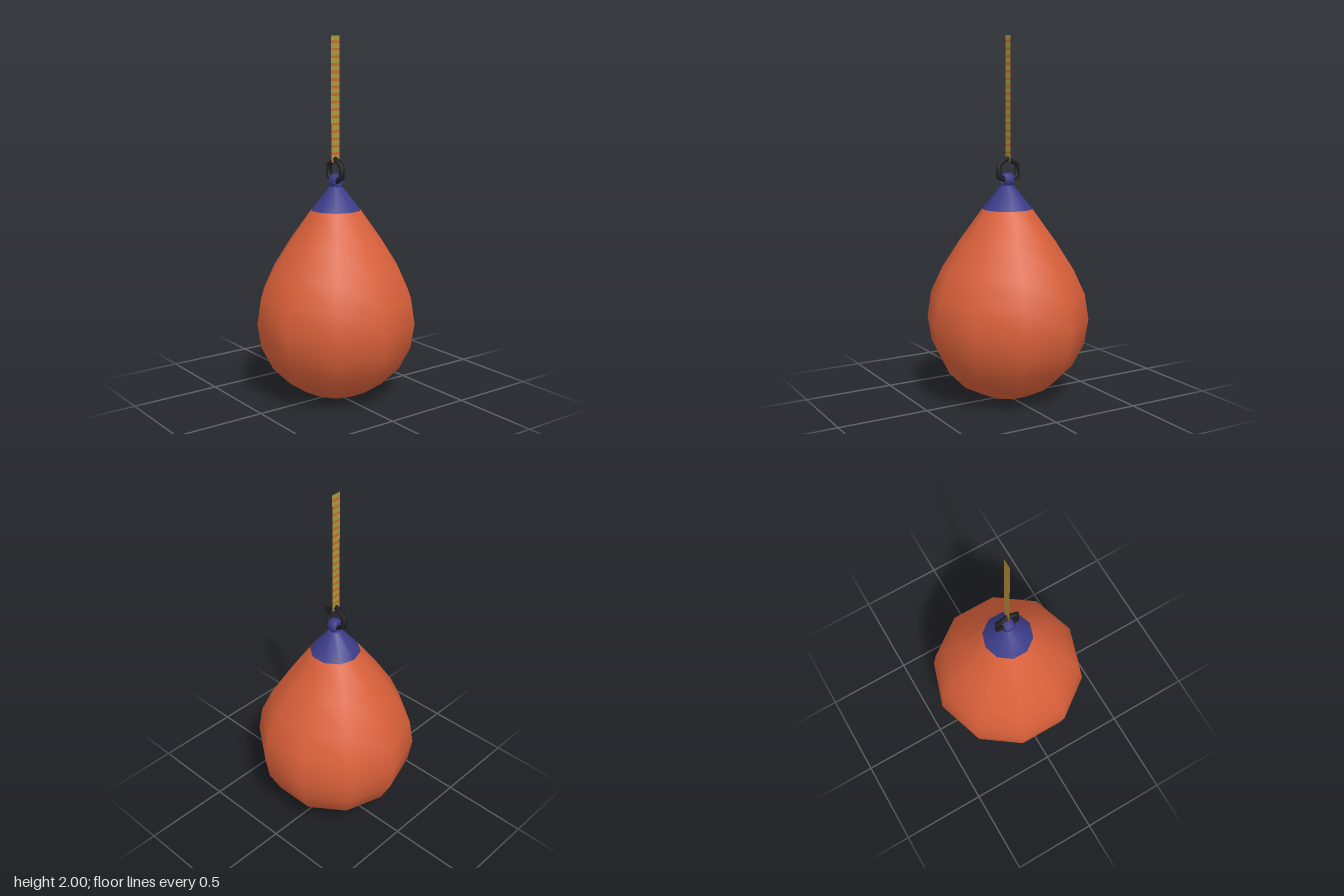
import * as THREE from 'three';

const paint = (name, color, extra = {}) => {
  const m = new THREE.MeshStandardMaterial({ color, ...extra });
  m.name = name;
  return m;
};

export function createModel() {
  const orange = paint('orange', 0xd9603a);
  const blue = paint('blue', 0x3b3b88);
  const black = paint('black', 0x1e1e1e);
  const olive = paint('olive', 0xa89c38, { side: THREE.DoubleSide });
  const red = paint('red', 0xc8663a, { side: THREE.DoubleSide });

  const group = new THREE.Group();
  const add = (name, geometry, material, y = 0, z = 0) => {
    const mesh = new THREE.Mesh(geometry, material);
    mesh.name = name;
    mesh.position.set(0, y, z);
    group.add(mesh);
    return mesh;
  };
  const lathe = (points) =>
    new THREE.LatheGeometry(points.map(([r, y]) => new THREE.Vector2(r, y)), 10);

  // Ten-sided teardrop float
  add('floatBody', lathe([
    [0, 0.005], [0.139, 0.028], [0.265, 0.092], [0.364, 0.192], [0.428, 0.318], [0.45, 0.455],
    [0.428, 0.597], [0.364, 0.735], [0.265, 0.89], [0.139, 1.065],
  ]), orange);

  // Conical cap
  add('topCap', lathe([[0.139, 1.065], [0.038, 1.19], [0, 1.205]]), blue);

  // Broad eye on the cap, with its hole facing front and back
  const eye = add('capEye', new THREE.TorusGeometry(0.028, 0.012, 8, 8), blue, 1.225);
  eye.scale.z = 2.6;

  // Six-sided shackle ring standing across the eye
  const ring = new THREE.TorusGeometry(0.066, 0.015, 8, 6);
  ring.rotateZ(Math.PI / 2).rotateY(Math.PI / 2);
  add('shackleRing', ring, black, 1.275, -0.004);

  // Flat woven strap: olive webbing crossed by red threads
  const bottom = 1.325, top = 2, count = 17;
  const pitch = (top - bottom) / count, thread = pitch * 0.36;
  for (let i = 0; i < count; i++) {
    const y = bottom + i * pitch;
    add('strapThread', new THREE.PlaneGeometry(0.054, thread), red, y + thread / 2, -0.005);
    add('strapWebbing', new THREE.PlaneGeometry(0.054, pitch - thread), olive,
      y + (pitch + thread) / 2, -0.005);
  }
  return group;
}
